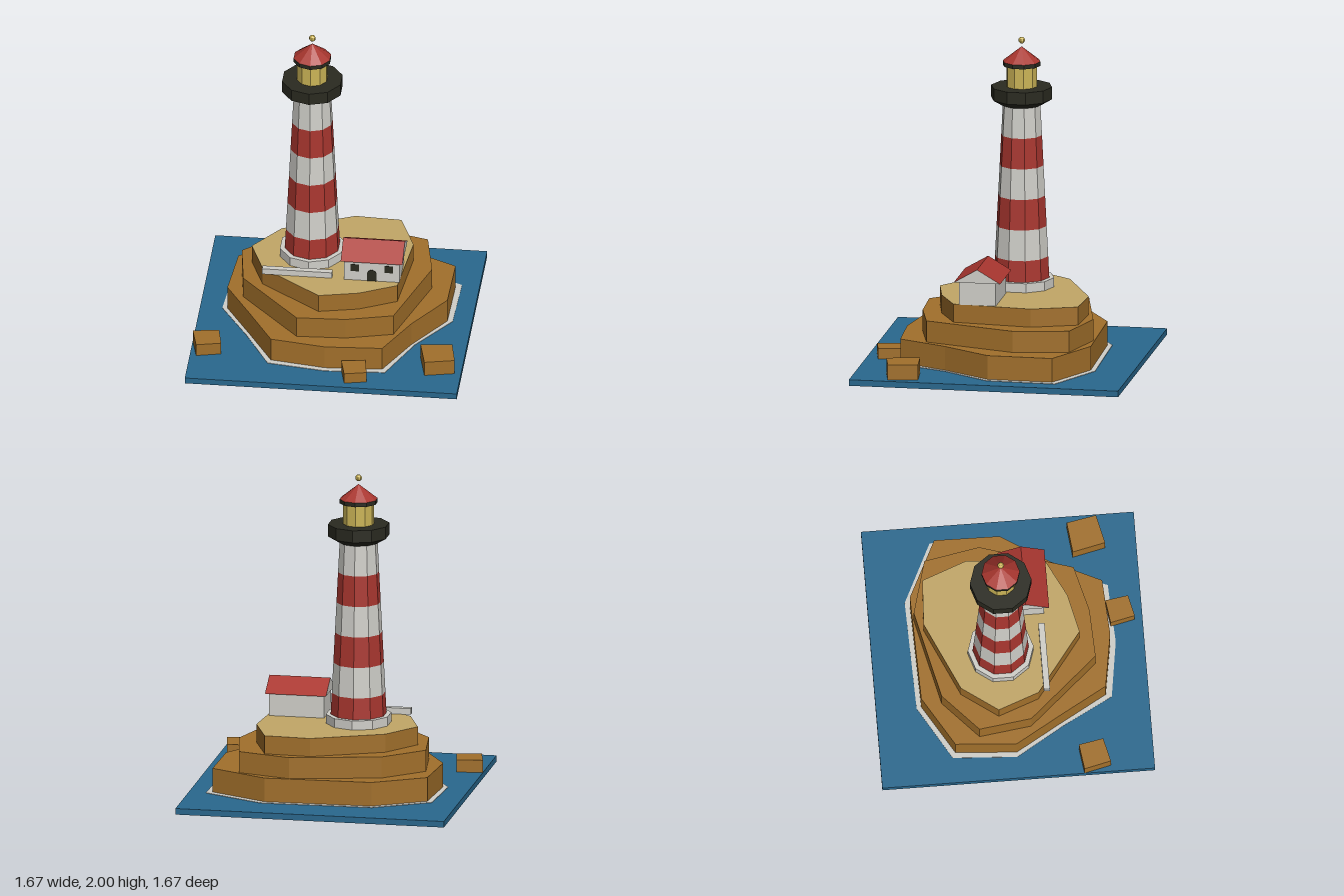
import * as THREE from 'three';

const mat = (name, color) => {
  const m = new THREE.MeshStandardMaterial({ color });
  m.name = name;
  return m;
};

export function createModel() {
  const water = mat('water', 0x29688e);
  const rock = mat('rock', 0xa2702b);
  const sand = mat('sand', 0xc2a767);
  const white = mat('white', 0xd0cfc9);
  const red = mat('red', 0xa9362f);
  const dark = mat('dark iron', 0x2a2a20);
  const gold = mat('lantern gold', 0xccb557);

  const model = new THREE.Group();
  model.name = 'lighthouseIsland';

  // Adds a faceted mesh
  const add = (parent, name, geometry, material, x = 0, y = 0, z = 0) => {
    const g = geometry.index ? geometry.toNonIndexed() : geometry;
    g.computeVertexNormals();
    const mesh = new THREE.Mesh(g, material);
    mesh.name = name;
    mesh.position.set(x, y, z);
    parent.add(mesh);
    return mesh;
  };

  // Upright slab from an outline of [x, z] points
  const slab = (name, points, y0, y1, material) => {
    const shape = new THREE.Shape(points.map(([x, z]) => new THREE.Vector2(x, -z)));
    const g = new THREE.ExtrudeGeometry(shape, { depth: y1 - y0, bevelEnabled: false });
    g.rotateX(-Math.PI / 2);
    return add(model, name, g, material, 0, y0, 0);
  };

  // Sea and foam line
  const seaTop = 0.038;
  add(model, 'sea', new THREE.BoxGeometry(1.673, seaTop, 1.673), water, 0, seaTop / 2, 0);
  slab('foam', [[-0.338, -0.587], [0.353, -0.606], [0.728, -0.424], [0.718, 0.002], [0.518, 0.3],
    [0.372, 0.641], [0.002, 0.661], [-0.353, 0.609], [-0.518, 0.3], [-0.699, 0.002], [-0.675, -0.392]],
  seaTop, 0.041, white);

  // Stepped island
  slab('lowerCliff', [[-0.33, -0.558], [0.333, -0.576], [0.691, -0.399], [0.686, 0.002], [0.497, 0.3],
    [0.352, 0.605], [0.001, 0.627], [-0.337, 0.573], [-0.498, 0.291], [-0.668, 0.002], [-0.642, -0.373]],
  seaTop, 0.19, rock);
  slab('middleCliff', [[-0.37, -0.437], [0.182, -0.564], [0.513, -0.473], [0.577, -0.133], [0.402, 0.434],
    [0.117, 0.509], [-0.184, 0.523], [-0.56, 0.099], [-0.604, -0.222]], 0.19, 0.323, rock);
  slab('upperCliff', [[0.062, -0.513], [0.347, -0.498], [0.452, -0.223], [0.407, 0.265], [0.182, 0.379],
    [-0.059, 0.434], [-0.435, 0.153], [-0.529, -0.098], [-0.37, -0.318]], 0.323, 0.437, [sand, rock]);

  // Boulders in the water
  [
    [[[-0.836, 0.404], [-0.676, 0.382], [-0.647, 0.533], [-0.797, 0.569]], 0.115],
    [[[0.57, 0.442], [0.763, 0.42], [0.798, 0.602], [0.616, 0.644]], 0.132],
    [[[0.104, 0.638], [0.25, 0.616], [0.273, 0.758], [0.138, 0.788]], 0.105],
  ].forEach(([outline, top], i) => slab(`boulder${i + 1}`, outline, seaTop, top, rock));

  // Tower, ten-sided
  const tower = new THREE.Group();
  tower.name = 'tower';
  tower.position.set(-0.152, 0, -0.057);
  model.add(tower);
  const drum = (name, r0, r1, y0, y1, material) =>
    add(tower, name, new THREE.CylinderGeometry(r1, r0, y1 - y0, 10), material, 0, (y0 + y1) / 2, 0);

  drum('plinth', 0.202, 0.202, 0.437, 0.494, white);
  const radiusAt = (t) => 0.175 + (0.117 - 0.175) * t;
  for (let i = 0; i < 6; i++) {
    drum(`band${i + 1}`, radiusAt(i / 6), radiusAt((i + 1) / 6), 0.437 + i * 0.19, 0.627 + i * 0.19,
      i % 2 ? white : red);
  }
  drum('galleryFlare', 0.125, 0.189, 1.577, 1.615, dark);
  drum('gallery', 0.189, 0.189, 1.615, 1.691, dark);
  drum('lantern', 0.095, 0.095, 1.691, 1.822, gold);
  drum('roofRim', 0.117, 0.117, 1.822, 1.848, dark);
  add(tower, 'roof', new THREE.ConeGeometry(0.117, 0.092, 10), red, 0, 1.894, 0);
  add(tower, 'finialBall', new THREE.SphereGeometry(0.021, 8, 6), gold, 0, 1.979, 0);

  // Keeper's house
  const house = new THREE.Group();
  house.name = 'house';
  model.add(house);
  add(house, 'walls', new THREE.BoxGeometry(0.342, 0.145, 0.228), white, 0.246, 0.5095, 0.114);
  const gable = new THREE.Shape([[-0.144, 0], [0.144, 0], [0, 0.084]].map((p) => new THREE.Vector2(...p)));
  const roof = new THREE.ExtrudeGeometry(gable, { depth: 0.38, bevelEnabled: false });
  roof.rotateY(Math.PI / 2);
  add(house, 'houseRoof', roof, [white, red], 0.057, 0.581, 0.113);

  const doorShape = new THREE.Shape();
  doorShape.moveTo(-0.03, 0);
  doorShape.lineTo(0.03, 0);
  doorShape.lineTo(0.03, 0.048);
  doorShape.absarc(0, 0.048, 0.03, 0, Math.PI, false);
  add(house, 'door', new THREE.ExtrudeGeometry(doorShape, { depth: 0.004, bevelEnabled: false, curveSegments: 4 }),
    dark, 0.246, 0.437, 0.226);
  for (const x of [0.142, 0.35]) {
    add(house, 'window', new THREE.BoxGeometry(0.053, 0.049, 0.004), dark, x, 0.525, 0.228);
  }

  // Low garden wall
  add(model, 'gardenWall', new THREE.BoxGeometry(0.43, 0.038, 0.038), white, -0.215, 0.456, 0.205);

  return model;
}
